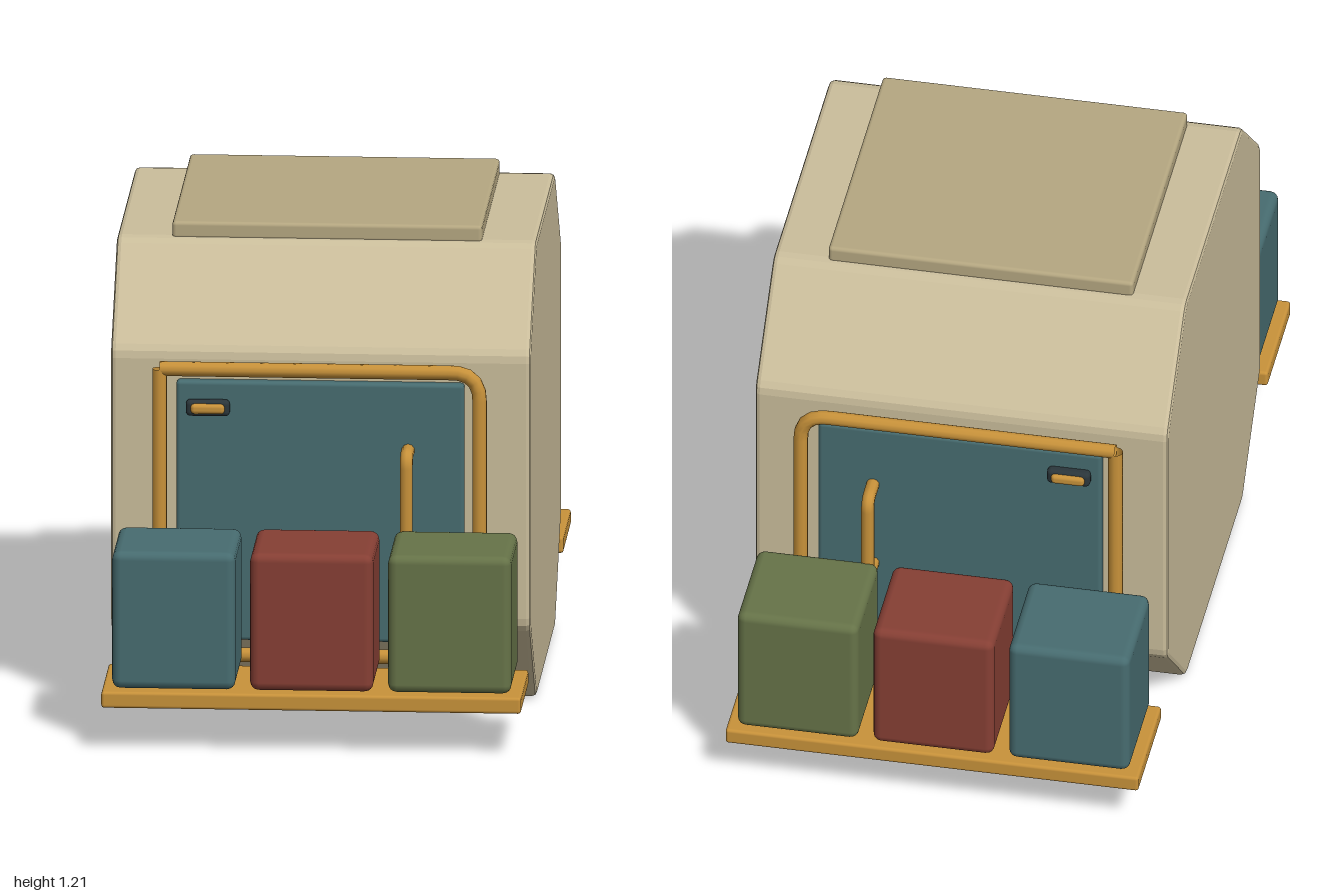
import * as THREE from 'three';
import { RoundedBoxGeometry } from 'three/addons/geometries/RoundedBoxGeometry.js';

const mat = (color, extra = {}) => {
  const m = new THREE.MeshStandardMaterial(extra);
  m.color.set(color);
  return m;
};
const MATS = {
  shell: mat(0xcabd9b),
  hatch: mat(0xb5a781),
  teal: mat(0x476c70),
  red: mat(0x863f34),
  green: mat(0x667348),
  gold: mat(0xc8923a, { side: THREE.DoubleSide }),
  dark: mat(0x2b363b),
};

function add(parent, name, geometry, material, x = 0, y = 0, z = 0) {
  const mesh = new THREE.Mesh(geometry, material);
  mesh.name = name;
  mesh.position.set(x, y, z);
  parent.add(mesh);
  return mesh;
}

// Softly bevelled block
const block = (w, h, d, r) => new RoundedBoxGeometry(w, h, d, 2, r);

// Pipe along straight runs joined by rounded bends
function pipe(points, bend, radius) {
  const path = new THREE.CurvePath();
  let from = points[0];
  for (let i = 1; i < points.length - 1; i++) {
    const p = points[i];
    const toward = (q) => p.clone().add(q.clone().sub(p).setLength(bend));
    const a = toward(points[i - 1]);
    const b = toward(points[i + 1]);
    path.add(new THREE.LineCurve3(from, a));
    path.add(new THREE.QuadraticBezierCurve3(a, p, b));
    from = b;
  }
  path.add(new THREE.LineCurve3(from, points[points.length - 1]));
  return new THREE.TubeGeometry(path, 120, radius, 10, false);
}

// Octagonal shell, extruded across x, with slightly softened corners
function shellGeometry() {
  const pts = [
    [0.37, 0], [0.61, 0.24], [0.61, 0.935], [0.37, 1.17],
    [-0.37, 1.17], [-0.61, 0.935], [-0.61, 0.24], [-0.37, 0],
  ].map(([u, v]) => new THREE.Vector2(u, v));
  const shape = new THREE.Shape();
  pts.forEach((p, i) => {
    const near = (q) => p.clone().add(q.clone().sub(p).setLength(0.02));
    const a = near(pts[(i + 7) % 8]);
    const b = near(pts[(i + 1) % 8]);
    if (i === 0) shape.moveTo(a.x, a.y);
    else shape.lineTo(a.x, a.y);
    shape.quadraticCurveTo(p.x, p.y, b.x, b.y);
  });
  shape.closePath();
  const bevel = 0.012;
  const depth = 1.05 - 2 * bevel;
  const geometry = new THREE.ExtrudeGeometry(shape, {
    depth, curveSegments: 2, bevelEnabled: true, bevelSegments: 2,
    bevelSize: bevel, bevelThickness: bevel, bevelOffset: -bevel,
  });
  return geometry.translate(0, 0, -depth / 2).rotateY(Math.PI / 2);
}

// Door, pipework and loaded shelf for one end; s = 1 front, -1 back
function buildEnd(s) {
  const end = new THREE.Group();
  end.name = s > 0 ? 'frontEnd' : 'backEnd';
  const v = (x, y, z) => new THREE.Vector3(x, y, z * s);

  add(end, 'door', block(0.72, 0.665, 0.045, 0.01), MATS.teal, 0, 0.5325, 0.6125 * s);

  // Latch: dark surround with a bar on it
  add(end, 'latchPlate', block(0.11, 0.042, 0.03, 0.012), MATS.dark, -0.28, 0.8, 0.645 * s);
  add(end, 'latchBar', block(0.085, 0.026, 0.03, 0.01), MATS.gold, -0.28, 0.8, 0.655 * s);

  // Pipe frame round the door, its two ends meeting at one upper corner
  const fz = 0.652;
  add(end, 'doorFrame', pipe([
    v(-0.4, 0.9, fz), v(0.4, 0.9, fz), v(0.4, 0.168, fz),
    v(-0.4, 0.168, fz), v(-0.4, 0.9, fz),
  ], 0.07, 0.0185), MATS.gold);

  // Upright grab handle
  add(end, 'grabHandle', pipe([
    v(0.22, 0.695, 0.62), v(0.22, 0.695, 0.704),
    v(0.22, 0.45, 0.704), v(0.22, 0.45, 0.62),
  ], 0.03, 0.0165), MATS.gold);

  // Shelf with three storage boxes
  add(end, 'shelf', block(1.05, 0.042, 0.305, 0.008), MATS.gold, 0, 0.131, 0.8475 * s);
  ['teal', 'red', 'green'].forEach((color, i) => {
    add(end, color + 'Box', block(0.308, 0.353, 0.284, 0.022), MATS[color],
      (i - 1) * 0.345, 0.332, 0.846 * s);
  });
  return end;
}

export function createModel() {
  const model = new THREE.Group();
  model.name = 'octagonalCabin';
  add(model, 'shell', shellGeometry(), MATS.shell);
  add(model, 'roofHatch', block(0.775, 0.045, 0.72, 0.01), MATS.hatch, 0, 1.184, 0);
  for (const s of [1, -1]) model.add(buildEnd(s));
  return model;
}
